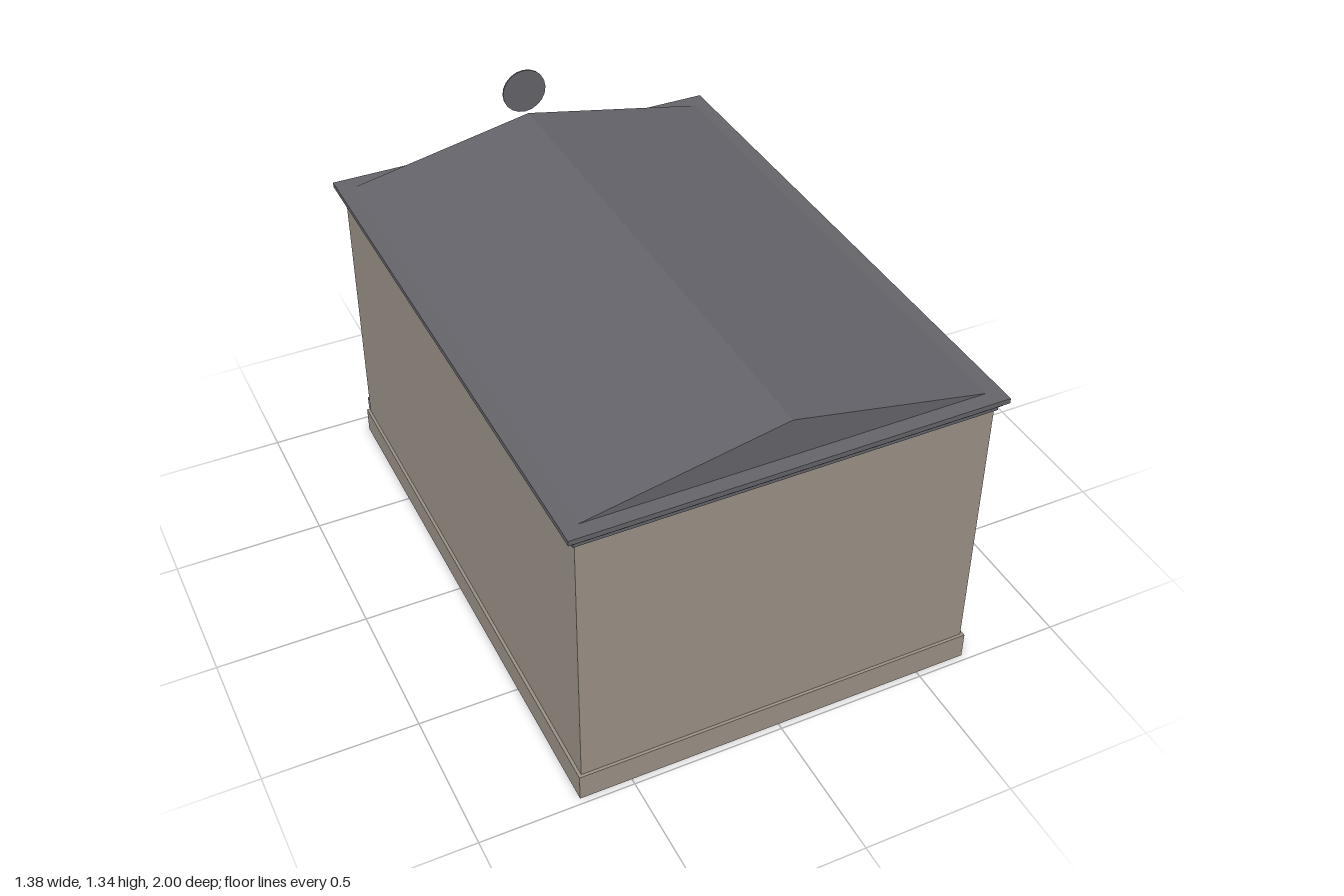
import * as THREE from 'three';

const material = (name, color) => {
  const m = new THREE.MeshStandardMaterial({ color });
  m.name = name;
  return m;
};

export function createModel() {
  const stone = material('stone', 0x9b9287);
  const slate = material('slate', 0x65646a);
  const trim = material('dark trim', 0x55555b);
  const gold = material('gold', 0xa08638);
  const glass = material('warm glass', 0xb0a272);
  const iron = material('iron', 0x3c3c40);
  const WALL = -0.92; // plane of the decorated wall, which faces -z

  const model = new THREE.Group();
  model.name = 'building';

  const add = (name, geometry, mat, x = 0, y = 0, z = 0, parent = model) => {
    const mesh = new THREE.Mesh(geometry, mat);
    mesh.name = name;
    mesh.position.set(x, y, z);
    parent.add(mesh);
    return mesh;
  };
  // box given by its centre x, lower and upper y, and z range
  const box = (name, mat, x, w, y0, y1, z0, z1, parent) =>
    add(name, new THREE.BoxGeometry(w, y1 - y0, z1 - z0), mat, x, (y0 + y1) / 2, (z0 + z1) / 2, parent);
  // box standing out from the decorated wall by depth d
  const relief = (name, mat, x, w, y0, y1, d, parent) =>
    box(name, mat, x, w, y0, y1, WALL - d, WALL, parent);
  const extrude = (shape, depth) =>
    new THREE.ExtrudeGeometry(shape, { depth, bevelEnabled: false, curveSegments: 12 });
  const archShape = (r, y0, spring, Kind = THREE.Shape) => {
    const s = new Kind();
    s.moveTo(-r, y0);
    s.lineTo(r, y0);
    s.lineTo(r, spring);
    s.absarc(0, spring, r, 0, Math.PI, false);
    s.lineTo(-r, y0);
    return s;
  };
  const group = (name) => {
    const g = new THREE.Group();
    g.name = name;
    model.add(g);
    return g;
  };

  // Walls, plinth and stepped cornice
  box('walls', stone, 0, 1.32, 0, 1.012, WALL, 0.97);
  box('plinth', stone, 0, 1.34, 0, 0.092, -0.93, 0.98);
  box('lowerCornice', slate, 0, 1.335, 1.01, 1.03, -0.928, 0.978);
  box('middleCornice', slate, 0, 1.355, 1.03, 1.045, -0.938, 0.988);
  box('upperCornice', slate, 0, 1.38, 1.043, 1.06, -0.95, 1.0);

  // Shallow gable roof
  const gable = new THREE.Shape();
  gable.moveTo(-0.64, 1.06);
  gable.lineTo(0.64, 1.06);
  gable.lineTo(0, 1.187);
  gable.closePath();
  add('roof', extrude(gable, 1.84), slate, 0, 0, -0.89);

  // Round roof ornament with its boss
  const disc = (name, mat, r, d, y, z, sides = 20) => {
    const m = add(name, new THREE.CylinderGeometry(r, r, d, sides), mat, 0, y, z);
    m.rotation.x = Math.PI / 2;
    return m;
  };
  disc('roofDisc', slate, 0.078, 0.006, 1.257, -0.922);
  disc('roofDiscBoss', iron, 0.009, 0.03, 1.257, -0.938, 10);

  for (const s of [1, -1]) {
    // Corner pilasters
    const pilaster = group('pilaster');
    relief('pilasterShaft', trim, s * 0.62, 0.058, 0.12, 0.98, 0.02, pilaster);
    relief('pilasterBase', stone, s * 0.62, 0.076, 0.085, 0.135, 0.024, pilaster);
    relief('pilasterCapital', stone, s * 0.62, 0.076, 0.97, 1.01, 0.026, pilaster);

    // Upper windows
    const upper = group('upperWindow');
    const x = s * 0.41;
    relief('upperPane', glass, x, 0.2, 0.66, 0.88, 0.006, upper);
    for (const t of [-1, 1]) relief('upperJamb', trim, x + t * 0.101, 0.022, 0.66, 0.88, 0.016, upper);
    relief('upperMullion', trim, x, 0.012, 0.66, 0.88, 0.012, upper);
    relief('upperSill', trim, x, 0.25, 0.642, 0.663, 0.025, upper);
    relief('upperLintel', trim, x, 0.245, 0.868, 0.892, 0.018, upper);
    relief('upperHood', trim, x, 0.262, 0.89, 0.91, 0.025, upper);

    // Arched lower windows
    const lower = group('archedWindow');
    const ax = s * 0.435;
    const frame = archShape(0.13, 0.12, 0.25);
    frame.holes.push(archShape(0.106, 0.132, 0.25, THREE.Path));
    add('archFrame', extrude(frame, 0.02), trim, ax, 0, WALL - 0.02, lower);
    add('archPane', extrude(archShape(0.108, 0.125, 0.25), 0.006), glass, ax, 0, WALL - 0.006, lower);
    relief('archMullion', trim, ax, 0.012, 0.13, 0.355, 0.013, lower);
    relief('archTransom', trim, ax, 0.212, 0.244, 0.256, 0.013, lower);
    relief('archSill', trim, ax, 0.275, 0.105, 0.128, 0.024, lower);
    relief('keystone', gold, ax, 0.045, 0.352, 0.405, 0.027, lower);

    // Small wall plaques
    relief('plaque', gold, s * 0.19, 0.055, 0.662, 0.68, 0.012);

    // Hanging lanterns
    const lantern = group('lantern');
    const lx = s * 0.265;
    relief('lanternPlate', iron, lx, 0.018, 0.375, 0.415, 0.012, lantern);
    relief('lanternArm', iron, lx, 0.008, 0.4, 0.409, 0.062, lantern);
    add('lanternCap', new THREE.ConeGeometry(0.017, 0.014, 8), iron, lx, 0.397, -0.973, lantern);
    add('lanternGlass', new THREE.CylinderGeometry(0.011, 0.009, 0.042, 8), glass, lx, 0.37, -0.973, lantern);
    add('lanternFoot', new THREE.CylinderGeometry(0.014, 0.014, 0.006, 8), iron, lx, 0.348, -0.973, lantern);

    // Door leaf with handle, and gold post
    relief('doorLeaf', trim, s * 0.0865, 0.169, 0.015, 0.31, 0.016);
    relief('doorPanel', slate, s * 0.087, 0.12, 0.2, 0.285, 0.02);
    relief('doorPanel', slate, s * 0.087, 0.12, 0.04, 0.165, 0.02);
    relief('doorHandle', gold, s * 0.022, 0.009, 0.15, 0.19, 0.028);
    relief('doorPost', gold, s * 0.192, 0.042, 0.012, 0.33, 0.03);
  }

  // Door surround, transom lights and step
  relief('doorBacking', iron, 0, 0.36, 0.012, 0.315, 0.012);
  relief('transomGlass', glass, 0, 0.39, 0.32, 0.365, 0.016);
  relief('transomRail', gold, 0, 0.36, 0.308, 0.322, 0.024);
  for (let i = 0; i < 6; i++) relief('transomBar', gold, -0.195 + i * 0.078, 0.01, 0.315, 0.365, 0.022);
  relief('doorLintel', gold, 0, 0.43, 0.36, 0.385, 0.034);
  relief('doorMidRail', stone, 0, 0.342, 0.178, 0.186, 0.021);
  relief('doorStep', stone, 0, 0.444, 0, 0.014, 0.058);

  // Domed round shield
  const shieldProfile = [[0, 0.05], [0.06, 0.047], [0.105, 0.038], [0.112, 0.042], [0.126, 0.038], [0.126, 0]]
    .reverse().map(([r, h]) => new THREE.Vector2(r, h));
  const shield = add('shield', new THREE.LatheGeometry(shieldProfile, 28), trim, 0, 0.862, WALL);
  shield.rotation.x = -Math.PI / 2;
  shield.scale.z = 1.05;

  // Crossed swords, hilts at the bottom
  for (const s of [1, -1]) {
    const sword = group('sword');
    sword.position.set(0, 0.855, s > 0 ? -0.995 : -0.986);
    sword.rotation.z = s * 0.72;
    const part = (name, mat, w, y0, y1, d) => box(name, mat, 0, w, y0, y1, -d / 2, d / 2, sword);
    part('blade', stone, 0.015, -0.1, 0.175, 0.007);
    part('guard', gold, 0.065, -0.112, -0.098, 0.01);
    part('grip', gold, 0.012, -0.165, -0.11, 0.009);
    part('pommel', gold, 0.02, -0.178, -0.162, 0.01);
  }
  return model;
}
